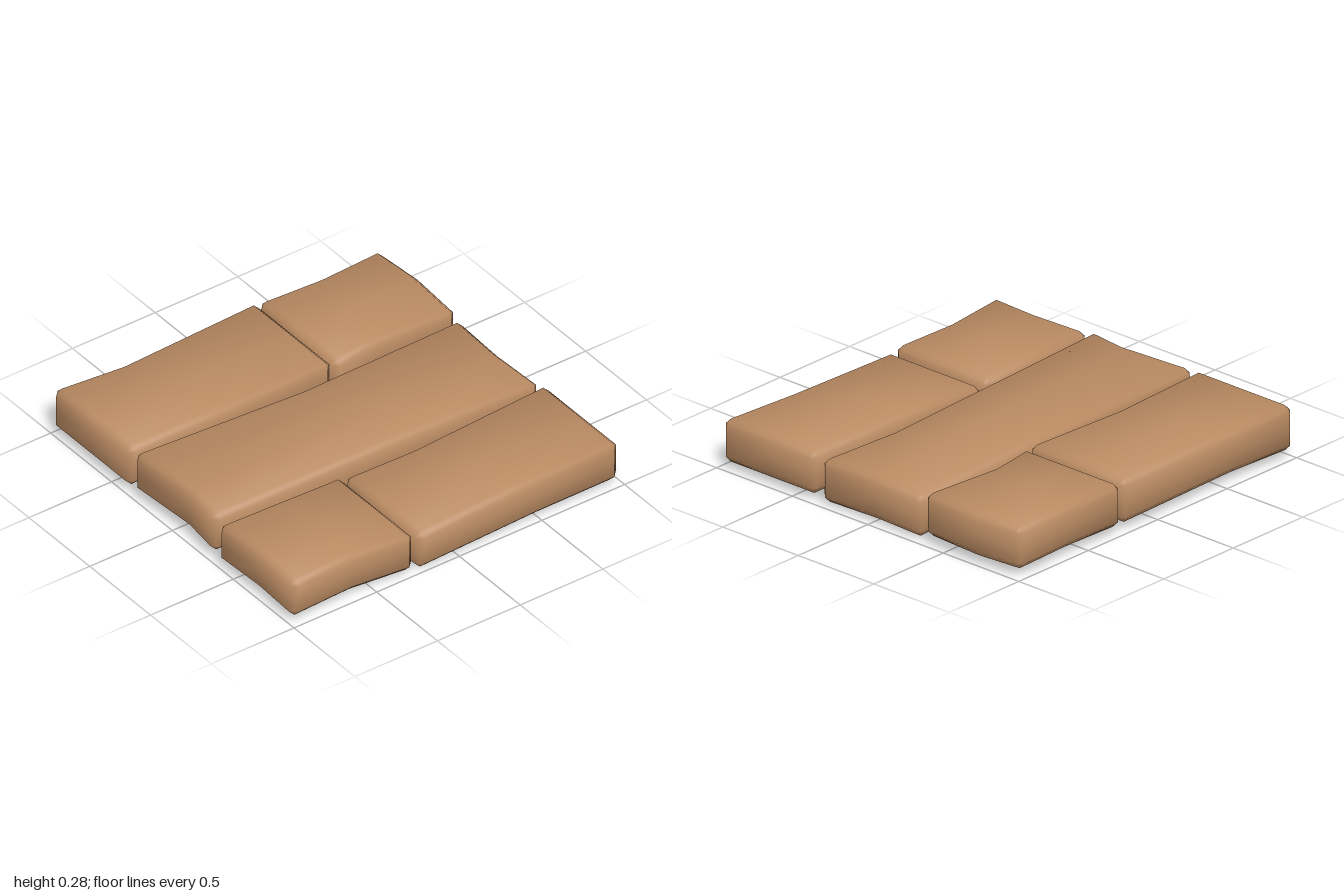
import * as THREE from 'three';
import { mergeVertices } from 'three/addons/utils/BufferGeometryUtils.js';

const BEVEL = 0.035;
const lerp = THREE.MathUtils.lerp;

// Each dent is [position along the edge, inward depth]; yL / yR are [bottom, top] at each end.
const planks = [
  { name: 'backLeftPlank', x: [-1, 0.23], z: [-0.99, -0.35], yL: [0.04, 0.28], yR: [0.04, 0.28], sag: 0.014,
    back: [-0.6, 0.02], front: [-0.4, 0.01], left: [-0.67, 0], right: [-0.67, 0] },
  { name: 'backRightPlank', x: [0.24, 0.98], z: [-0.99, -0.35], yL: [0.04, 0.27], yR: [0.04, 0.27], sag: 0.005,
    back: [0.6, 0.012], front: [0.52, 0.03], left: [-0.67, 0], right: [-0.7, -0.02] },
  { name: 'middlePlank', x: [-0.995, 0.975], z: [-0.33, 0.34], yL: [0.05, 0.28], yR: [0.01, 0.24], sag: 0.01,
    back: [0, 0.027], front: [0.5, 0.025], left: [0.1, 0.025], right: [0, 0.013] },
  { name: 'frontLeftPlank', x: [-1, -0.26], z: [0.37, 0.99], yL: [0.04, 0.263], yR: [0.02, 0.24], sag: 0,
    back: [-0.62, 0], front: [-0.62, 0.025], left: [0.7, 0.012], right: [0.68, 0] },
  { name: 'frontRightPlank', x: [-0.24, 0.98], z: [0.37, 0.99], yL: [0, 0.22], yR: [0.03, 0.26], sag: 0,
    back: [0.15, 0.022], front: [0.5, 0.01], left: [0.68, 0], right: [0.68, 0] },
];

// Bevelled box whose middle grid lines are pushed in to give worn, uneven edges
function plankGeometry(p) {
  let g = new THREE.BoxGeometry(2, 2, 2, 4, 4, 4);
  g.deleteAttribute('normal');
  g.deleteAttribute('uv');
  g = mergeVertices(g);
  const pos = g.attributes.position;
  const normals = [];
  for (let i = 0; i < pos.count; i++) {
    // grid index per axis: -2 / 2 outer face, -1 / 1 bevel line, 0 middle
    const k = [pos.getX(i), pos.getY(i), pos.getZ(i)].map(v => Math.round(v * 2));
    const outer = k.filter(v => Math.abs(v) === 2).length;
    const pull = [0, 0, BEVEL / 2, BEVEL * 2 / 3][outer];
    const place = (a, lo, hi, mid) => {
      if (a === 0) return mid;
      const inset = Math.abs(a) === 2 ? pull : BEVEL;
      return a < 0 ? lo + inset : hi - inset;
    };
    const [kx, ky, kz] = k;
    const u = (Math.sign(kx) + 1) / 2, w = (Math.sign(kz) + 1) / 2;
    let x = place(kx, ...p.x, lerp(p.back[0], p.front[0], w));
    let z = place(kz, ...p.z, lerp(p.left[0], p.right[0], u));
    // dents in the four sides
    if (kx === 0 && kz < 0) z += p.back[1];
    if (kx === 0 && kz > 0) z -= p.front[1];
    if (kz === 0 && kx < 0) x += p.left[1];
    if (kz === 0 && kx > 0) x -= p.right[1];
    // slope from end to end, with a slight sag on top
    const t = (x - p.x[0]) / (p.x[1] - p.x[0]);
    const lo = lerp(p.yL[0], p.yR[0], t), hi = lerp(p.yL[1], p.yR[1], t);
    let y = place(ky, lo, hi, (lo + hi) / 2);
    if (kx === 0 && ky > 0) y -= p.sag;
    pos.setXYZ(i, x, y, z);
    // soft pillow-like normals
    const n = new THREE.Vector3(...k.map(v => [0, 0.4, 1][Math.abs(v)] * Math.sign(v))).normalize();
    normals.push(n.x, n.y, n.z);
  }
  g.setAttribute('normal', new THREE.Float32BufferAttribute(normals, 3));
  return g;
}

export function createModel() {
  const group = new THREE.Group();
  group.name = 'plankFloor';
  const wood = new THREE.MeshStandardMaterial({ color: 0xb98a62 });
  for (const p of planks) {
    const mesh = new THREE.Mesh(plankGeometry(p), wood);
    mesh.name = p.name;
    group.add(mesh);
  }
  return group;
}
